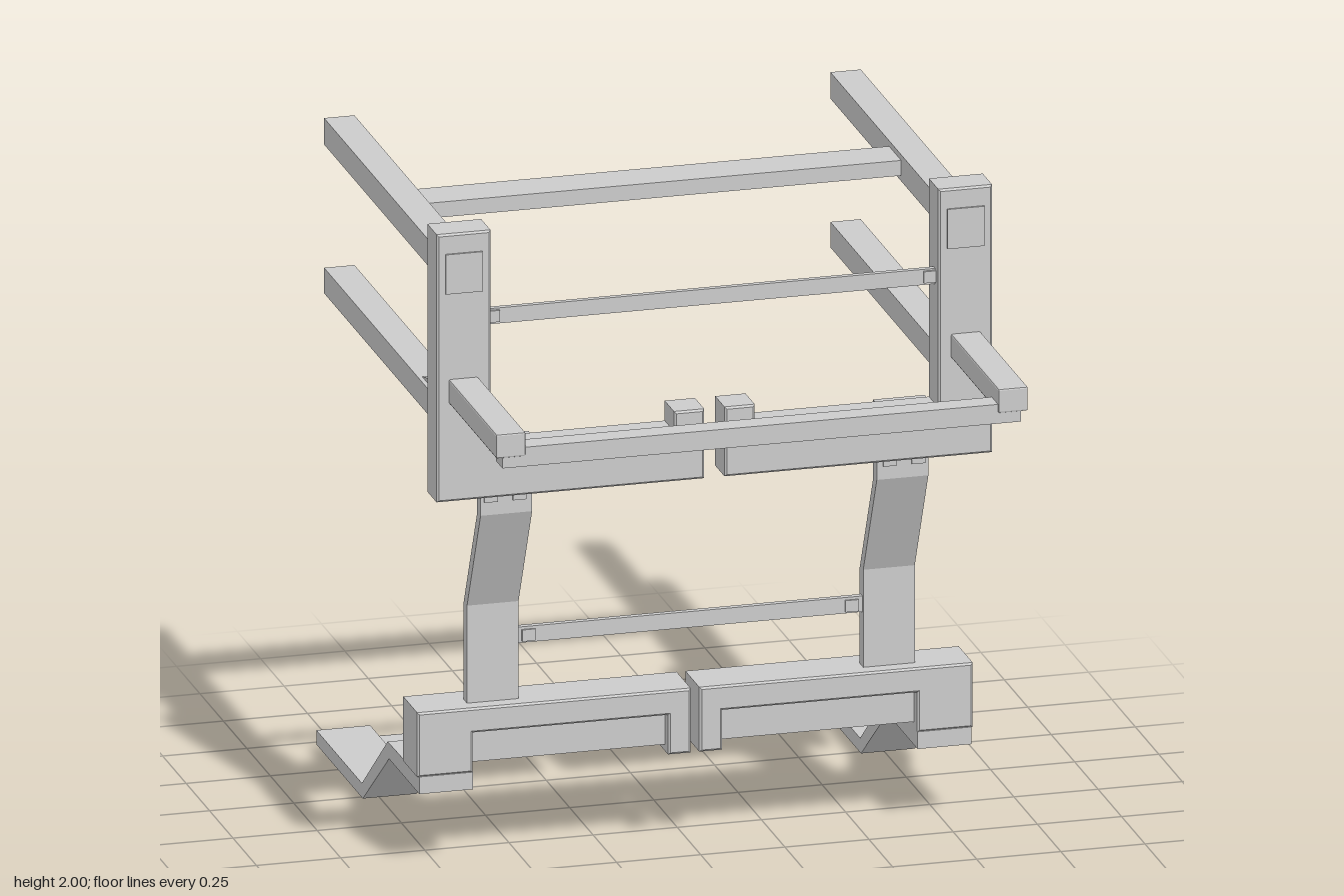
import * as THREE from 'three';
import { RoundedBoxGeometry } from 'three/addons/geometries/RoundedBoxGeometry.js';

const material = new THREE.MeshStandardMaterial({ color: 0xcccccc, flatShading: true });

// Named mesh
function part(parent, name, geometry) {
  const mesh = new THREE.Mesh(geometry, material);
  mesh.name = name;
  parent.add(mesh);
}

// Box given by its ranges on each axis
function box([x0, x1], [y0, y1], [z0, z1], radius = 0) {
  const s = [x1 - x0, y1 - y0, z1 - z0];
  const g = radius ? new RoundedBoxGeometry(...s, 1, radius) : new THREE.BoxGeometry(...s);
  return g.translate((x0 + x1) / 2, (y0 + y1) / 2, (z0 + z1) / 2);
}

const shapeOf = (points) => new THREE.Shape(points.map(([x, y]) => new THREE.Vector2(x, y)));

// Front outline (x, y) given depth from z0 to z1, with a fine bevel
function frontPlate(points, z0, z1) {
  const b = 0.006;
  return new THREE.ExtrudeGeometry(shapeOf(points), {
    depth: z1 - z0 - 2 * b, bevelSize: b, bevelThickness: b, bevelOffset: -b, bevelSegments: 1,
  }).translate(0, 0, z0 + b);
}

// Side outline (z, y) given width from x0 to x1
function sidePlate(points, x0, x1) {
  return new THREE.ExtrudeGeometry(shapeOf(points), { depth: x1 - x0, bevelEnabled: false })
    .rotateY(-Math.PI / 2).translate(x1, 0, 0);
}

// Open square tube running along z
function squareTube([x0, x1], [y0, y1], [z0, z1], wall) {
  const shape = shapeOf([[x0, y0], [x1, y0], [x1, y1], [x0, y1]]);
  shape.holes.push(new THREE.Path([
    [x0 + wall, y0 + wall], [x0 + wall, y1 - wall], [x1 - wall, y1 - wall], [x1 - wall, y0 + wall],
  ].map(([x, y]) => new THREE.Vector2(x, y))));
  return new THREE.ExtrudeGeometry(shape, { depth: z1 - z0, bevelEnabled: false }).translate(0, 0, z0);
}

export function createModel() {
  const model = new THREE.Group();
  model.name = 'supportFrame';

  for (const side of [1, -1]) {
    const half = new THREE.Group();
    half.name = side > 0 ? 'leftHalf' : 'rightHalf';
    model.add(half);
    // Mirrored x range and outline
    const xr = (a, b) => (side > 0 ? [a, b] : [-b, -a]);
    const outline = (pts) => pts.map(([x, y]) => [side * x, y]);

    // Post with inward bracket and end tab
    part(half, 'postBracket', frontPlate(outline([
      [0.03, 1.19], [0.825, 1.19], [0.825, 2], [0.665, 2], [0.665, 1.34],
      [0.12, 1.34], [0.12, 1.4], [0.03, 1.4],
    ]), 0.29, 0.4));
    part(half, 'postPlate', box(xr(0.69, 0.8), [1.82, 1.94], [0.39, 0.406]));

    // Hollow rear rails with gussets at the post
    const railX = xr(0.707, 0.797);
    for (const [y0, y1] of [[1.84, 1.92], [1.39, 1.467]]) {
      part(half, 'rearRail', squareTube(railX, [y0, y1], [-0.905, 0.295], 0.01));
    }
    const gussetX = xr(0.72, 0.784);
    part(half, 'upperGusset', sidePlate([[0.295, 1.805], [0.295, 1.845], [0.1, 1.845], [0.1, 1.835]], ...gussetX));
    part(half, 'lowerGusset', sidePlate([[0.295, 1.46], [0.295, 1.51], [0.1, 1.47], [0.1, 1.46]], ...gussetX));

    // Front arm
    part(half, 'frontArm', box(xr(0.702, 0.79), [1.487, 1.56], [0.39, 0.905], 0.005));

    // Bent upright strap with two bolts
    part(half, 'uprightStrap', sidePlate([
      [0.29, 1.33], [0.25, 1.33], [0.25, 1.09], [0.105, 0.77], [0.105, 0.46],
      [0.145, 0.46], [0.145, 0.78], [0.29, 1.1],
    ], ...xr(0.512, 0.665)));
    for (const x of [0.53, 0.615]) {
      part(half, 'strapBolt', box(xr(x, x + 0.04), [1.14, 1.18], [0.28, 0.296]));
    }

    // Lower beam arch with a recessed web
    part(half, 'lowerBeam', frontPlate(outline([
      [0.013, 0.29], [0.08, 0.29], [0.08, 0.41], [0.66, 0.41], [0.66, 0.29],
      [0.825, 0.29], [0.825, 0.485], [0.013, 0.485],
    ]), 0.033, 0.193));
    part(half, 'beamWeb', box(xr(0.07, 0.67), [0.31, 0.42], [0.07, 0.155]));

    // Stepped foot strap
    part(half, 'footStrap', sidePlate([
      [0.193, 0.292], [-0.145, 0.287], [-0.42, 0.07], [-0.905, 0.07],
      [-0.905, 0.027], [-0.41, 0.027], [-0.13, 0.24], [0.193, 0.24],
    ], ...xr(0.66, 0.82)));

    // Tabs at the ends of the thin straps
    part(half, 'upperStrapTab', box(xr(0.63, 0.665), [1.71, 1.745], [0.335, 0.37]));
    part(half, 'lowerStrapTab', box(xr(0.46, 0.5), [0.655, 0.69], [0.115, 0.142]));
  }

  // Members joining both halves
  part(model, 'railCrossbar', box([-0.715, 0.715], [1.857, 1.903], [-0.28, -0.15]));
  part(model, 'frontCrossbar', box([-0.77, 0.77], [1.455, 1.513], [0.832, 0.9]));
  part(model, 'footCrossbar', box([-0.74, 0.74], [0, 0.05], [-0.865, -0.738]));
  part(model, 'upperTieStrap', box([-0.67, 0.67], [1.703, 1.75], [0.345, 0.362]));
  part(model, 'lowerTieStrap', box([-0.6, 0.6], [0.65, 0.698], [0.118, 0.136]));

  return model;
}
